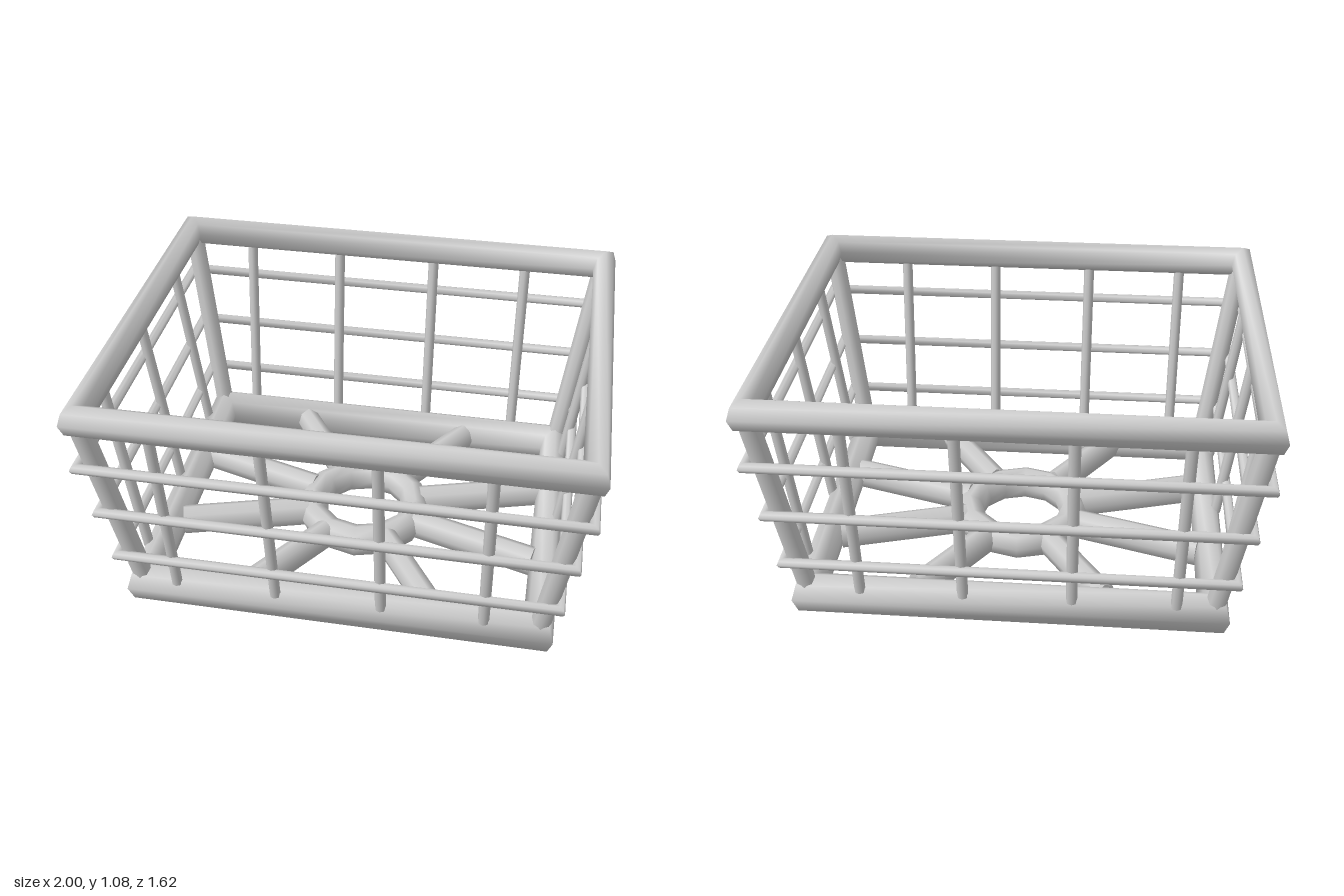
import * as THREE from 'three';

const material = new THREE.MeshStandardMaterial({ color: 0xcccccc });
const SIDES = 8;

// Closed rectangular frame with mitred corners and an oval section.
// hx, hz: half sizes to the tube's centre line; rx, ry: section radii.
function frame(name, hx, hz, y, rx, ry) {
  const pos = [], index = [];
  const corners = [[1, 1], [1, -1], [-1, -1], [-1, 1]];
  corners.forEach(([sx, sz], i) => {
    for (let j = 0; j < SIDES; j++) {
      const t = (j / SIDES) * Math.PI * 2;
      const out = rx * Math.cos(t);
      pos.push(sx * (hx + out), y + ry * Math.sin(t), sz * (hz + out));
      const a = i * SIDES + j, b = i * SIDES + (j + 1) % SIDES;
      const c = ((i + 1) % 4) * SIDES + j, d = ((i + 1) % 4) * SIDES + (j + 1) % SIDES;
      index.push(a, c, d, a, d, b);
    }
  });
  const geo = new THREE.BufferGeometry();
  geo.setAttribute('position', new THREE.Float32BufferAttribute(pos, 3));
  geo.setIndex(index);
  geo.computeVertexNormals();
  const mesh = new THREE.Mesh(geo, material);
  mesh.name = name;
  return mesh;
}

// Straight bar between two points; ry stretches its section upright.
function bar(name, from, to, r, ry = r) {
  const a = new THREE.Vector3(...from), b = new THREE.Vector3(...to);
  const geo = new THREE.CylinderGeometry(r, r, a.distanceTo(b), SIDES);
  geo.rotateX(Math.PI / 2).scale(1, ry / r, 1);
  const mesh = new THREE.Mesh(geo, material);
  mesh.name = name;
  mesh.position.copy(a).add(b).multiplyScalar(0.5);
  mesh.lookAt(b);
  return mesh;
}

export function createModel() {
  const basket = new THREE.Group();
  basket.name = 'basket';

  // Thick rims at the top and bottom
  basket.add(frame('topRim', 0.952, 0.762, 1.012, 0.048, 0.068));
  basket.add(frame('bottomRim', 0.822, 0.632, 0.0925, 0.0625, 0.0925));

  // Thin hoops wrapped around the outside of the posts
  for (const [x, z, y] of [[0.97, 0.78, 0.795], [0.93, 0.74, 0.548], [0.893, 0.71, 0.3]])
    basket.add(frame('hoop', x, z, y, 0.021, 0.021));

  // Leaning corner posts
  for (const sx of [-1, 1]) for (const sz of [-1, 1])
    basket.add(bar('cornerPost', [sx * 0.829, 0.15, sz * 0.637], [sx * 0.943, 0.98, sz * 0.751], 0.042));

  // Upright wires on all four walls
  for (const s of [-1, 1]) {
    for (const x of [-0.67, -0.253, 0.185, 0.603])
      basket.add(bar('wallWire', [x, 0.145, s * 0.668], [x, 0.97, s * 0.77], 0.023));
    for (const z of [-0.465, 0, 0.465])
      basket.add(bar('wallWire', [s * 0.86, 0.145, z], [s * 0.962, 0.97, z], 0.023));
  }

  // Floor: ring in the middle with eight spokes
  const hubGeo = new THREE.TorusGeometry(0.232, 0.062, SIDES, 12);
  hubGeo.rotateX(Math.PI / 2).scale(1, 1.2, 1);
  const hub = new THREE.Mesh(hubGeo, material);
  hub.name = 'floorRing';
  hub.position.y = 0.095;
  basket.add(hub);
  for (const sx of [-1, 1]) for (const sz of [-1, 1]) {
    basket.add(bar('floorSpoke', [sx * 0.24, 0.1, sz * 0.08], [sx * 0.775, 0.1, sz * 0.238], 0.055, 0.07));
    basket.add(bar('floorSpoke', [sx * 0.135, 0.1, sz * 0.215], [sx * 0.385, 0.1, sz * 0.585], 0.053, 0.07));
  }
  return basket;
}
